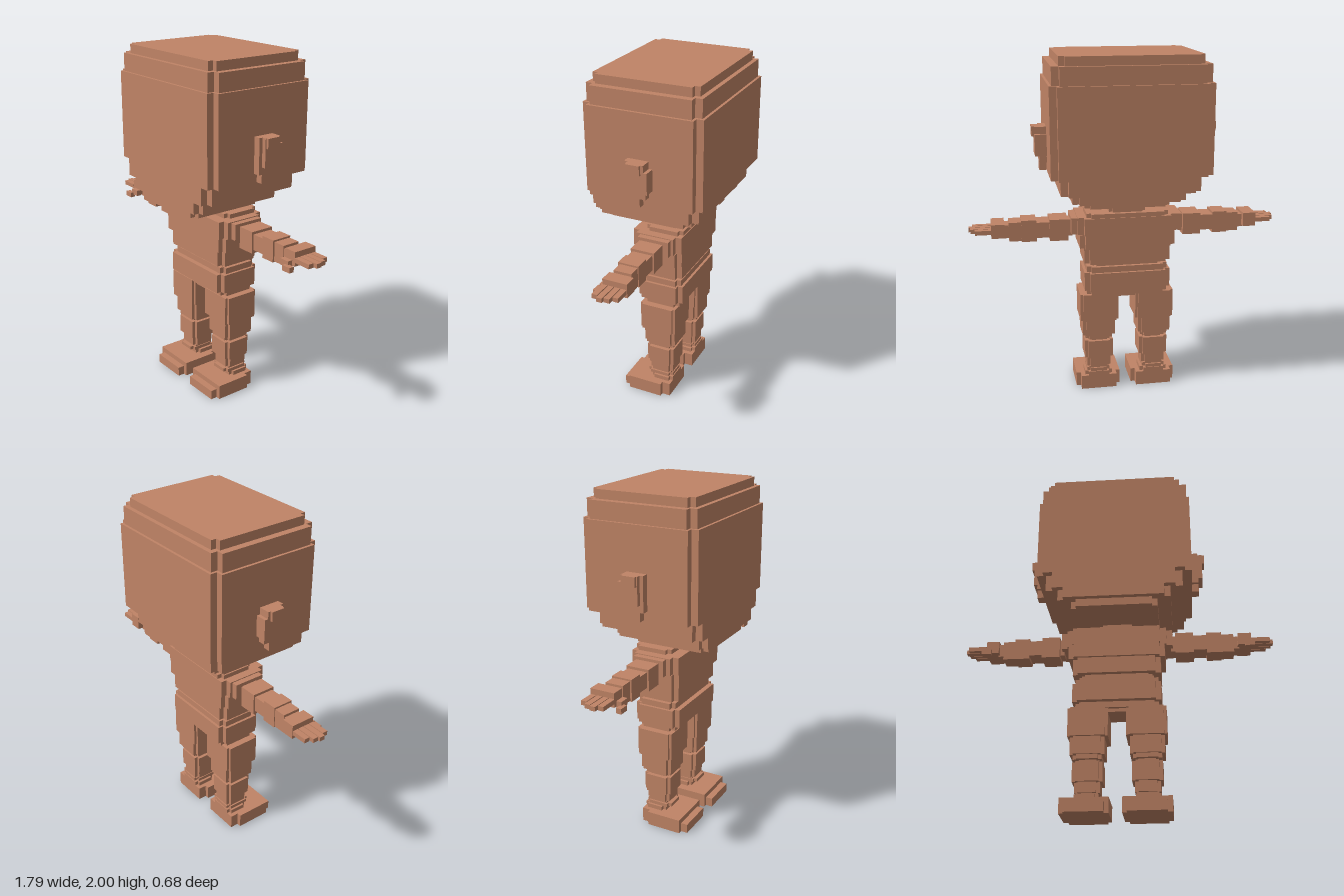
import * as THREE from 'three';

const skin = new THREE.MeshStandardMaterial({ color: 0xc08466 });
skin.name = 'clay skin';

// Upright block with square notches of size n cut out of its four vertical edges
function notched(x0, x1, y0, y1, z0, z1, n) {
  const a = -z1, b = -z0; // shape y runs along -z
  const pts = [
    [x0 + n, a], [x1 - n, a], [x1 - n, a + n], [x1, a + n], [x1, b - n], [x1 - n, b - n],
    [x1 - n, b], [x0 + n, b], [x0 + n, b - n], [x0, b - n], [x0, a + n], [x0 + n, a + n],
  ].map(([x, y]) => new THREE.Vector2(x, y));
  const g = new THREE.ExtrudeGeometry(new THREE.Shape(pts), { depth: y1 - y0, bevelEnabled: false });
  return g.rotateX(-Math.PI / 2).translate(0, y0, 0);
}

function box(x0, x1, y0, y1, z0, z1) {
  return new THREE.BoxGeometry(x1 - x0, y1 - y0, z1 - z0)
    .translate((x0 + x1) / 2, (y0 + y1) / 2, (z0 + z1) / 2);
}

// Rows are [x0, x1, y0, y1, z0, z1, notch]; side -1 mirrors them to the right of the model
function blocks(name, rows, side = 1) {
  const group = new THREE.Group();
  group.name = name;
  rows.forEach(([x0, x1, y0, y1, z0, z1, n], i) => {
    const [a, b] = side > 0 ? [x0, x1] : [-x1, -x0];
    const geo = n ? notched(a, b, y0, y1, z0, z1, n) : box(a, b, y0, y1, z0, z1);
    const mesh = new THREE.Mesh(geo, skin);
    mesh.name = `${name}Block${i + 1}`;
    group.add(mesh);
  });
  return group;
}

// Rows centred on x = 0: [half width, y0, y1, z0, z1, notch]
const centred = (rows) => rows.map(([w, ...rest]) => [-w, w, ...rest]);

export function createModel() {
  const model = new THREE.Group();
  model.name = 'blockFigure';

  // Stepped head: crown, face block, jaw steps
  model.add(blocks('head', centred([
    [0.39, 1.95, 2.0, -0.30, 0.30, 0.03],
    [0.43, 1.85, 1.95, -0.325, 0.325, 0.04],
    [0.445, 1.35, 1.85, -0.34, 0.34, 0.04],
    [0.39, 1.25, 1.35, -0.295, 0.34, 0.04],
    [0.32, 1.185, 1.25, -0.225, 0.34, 0.035],
    [0.245, 1.14, 1.185, -0.145, 0.31, 0.03],
  ])));

  // Neck, chest, waist and hips
  model.add(blocks('neck', centred([[0.105, 1.1, 1.15, -0.12, 0.06, 0.02]])));
  model.add(blocks('torso', centred([
    [0.235, 1.085, 1.11, -0.145, 0.08, 0.025],
    [0.285, 0.985, 1.085, -0.15, 0.145, 0.035],
    [0.275, 0.905, 0.985, -0.15, 0.145, 0.03],
    [0.25, 0.81, 0.905, -0.14, 0.13, 0.03],
    [0.2, 0.79, 0.81, -0.11, 0.1, 0.02],
  ])));
  model.add(blocks('hips', centred([
    [0.235, 0.755, 0.79, -0.13, 0.105, 0.025],
    [0.25, 0.645, 0.755, -0.145, 0.135, 0.03],
    [0.235, 0.61, 0.645, -0.12, 0.1, 0.025],
    [0.13, 0.59, 0.61, -0.09, 0.08],
  ])));

  for (const side of [1, -1]) {
    const s = side > 0 ? 'left' : 'right';

    // Ear: rim, raised middle and lobe
    model.add(blocks(s + 'Ear', [
      [0.445, 0.485, 1.40, 1.60, -0.055, 0.065],
      [0.485, 0.51, 1.44, 1.60, -0.055, 0.045],
      [0.445, 0.51, 1.44, 1.56, -0.075, 0.045],
      [0.51, 0.525, 1.545, 1.60, -0.04, 0.04],
      [0.445, 0.485, 1.35, 1.40, -0.02, 0.045],
    ], side));

    // Arm: shoulder cap, upper arm, elbow, forearm, wrist
    model.add(blocks(s + 'Arm', [
      [0.25, 0.32, 0.985, 1.08, -0.1, 0.085],
      [0.31, 0.335, 0.965, 1.06, -0.05, 0.04],
      [0.335, 0.44, 0.945, 1.07, -0.075, 0.065],
      [0.44, 0.515, 0.965, 1.055, -0.065, 0.055],
      [0.515, 0.60, 0.945, 1.07, -0.065, 0.055],
      [0.60, 0.67, 0.95, 1.06, -0.06, 0.045],
      [0.67, 0.70, 0.97, 1.045, -0.055, 0.04],
    ], side));

    // Hand: palm, thumb and four fingers
    model.add(blocks(s + 'Hand', [
      [0.695, 0.77, 0.98, 1.06, -0.088, 0.055],
      [0.69, 0.75, 0.975, 1.01, 0.05, 0.085],
      [0.73, 0.785, 0.96, 0.99, 0.075, 0.105],
      ...[0.86, 0.885, 0.895, 0.875].map((tip, i) => {
        const z = -0.085 + i * 0.037;
        return [0.77, tip, 1.003, 1.028, z, z + 0.032];
      }),
    ], side));

    // Leg: thigh, knee, shin, ankle
    model.add(blocks(s + 'Leg', [
      [0.05, 0.275, 0.45, 0.615, -0.115, 0.105, 0.015],
      [0.07, 0.262, 0.35, 0.45, -0.105, 0.09, 0.02],
      [0.085, 0.245, 0.325, 0.35, -0.09, 0.08, 0.02],
      [0.1, 0.225, 0.31, 0.325, -0.07, 0.055, 0.015],
      [0.08, 0.248, 0.2, 0.31, -0.09, 0.08, 0.02],
      [0.095, 0.235, 0.14, 0.2, -0.08, 0.065, 0.02],
      [0.105, 0.225, 0.13, 0.14, -0.07, 0.05],
      [0.1, 0.235, 0.11, 0.13, -0.08, 0.08, 0.02],
      [0.085, 0.248, 0.08, 0.11, -0.085, 0.05, 0.02],
    ], side));

    // Foot: wide sole, toe step, narrow heel
    model.add(blocks(s + 'Foot', [
      [0.035, 0.298, 0, 0.085, -0.035, 0.175],
      [0.06, 0.272, 0, 0.055, 0.175, 0.215],
      [0.06, 0.272, 0, 0.085, -0.085, -0.035],
    ], side));
  }
  return model;
}
